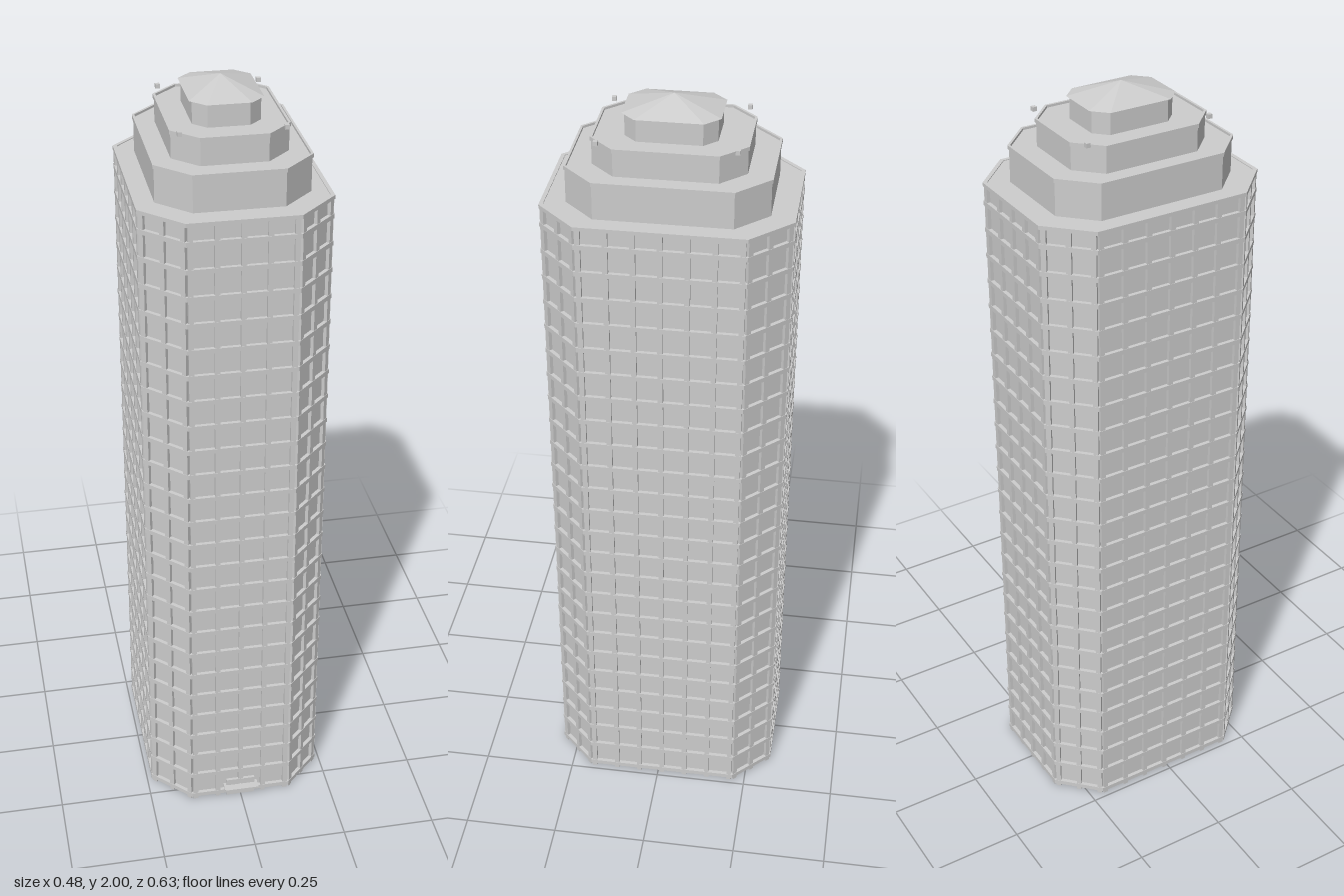
import * as THREE from 'three';
import { mergeGeometries } from 'three/addons/utils/BufferGeometryUtils.js';

const stone = new THREE.MeshStandardMaterial({ color: 0xcccccc, side: THREE.DoubleSide, flatShading: true });
stone.name = 'pale grey';

// Corners of a rectangle with cut corners, inset evenly by d (x, z plane)
function octagon(hx, hz, cut, d = 0) {
  const x = hx - d, z = hz - d, c = cut - d * (2 - Math.SQRT2);
  return [[x - c, z], [x, z - c], [x, c - z], [x - c, -z], [c - x, -z], [-x, c - z], [-x, z - c], [c - x, z]]
    .map(([px, pz]) => new THREE.Vector2(px, pz));
}

// Upright prism or ring between two heights
function prism(outer, y0, y1, inner) {
  const shape = new THREE.Shape(outer);
  if (inner) shape.holes.push(new THREE.Path(inner));
  return new THREE.ExtrudeGeometry(shape, { depth: y1 - y0, bevelEnabled: false })
    .rotateX(-Math.PI / 2).translate(0, y0, 0);
}

// Open wall or sloping surface between two matching outlines
function skin(low, y0, high, y1) {
  const pos = [];
  low.forEach((a, i) => {
    const j = (i + 1) % low.length, b = low[j], c = high[j], d = high[i];
    pos.push(a.x, y0, a.y, b.x, y0, b.y, c.x, y1, c.y, a.x, y0, a.y, c.x, y1, c.y, d.x, y1, d.y);
  });
  const g = new THREE.BufferGeometry();
  g.setAttribute('position', new THREE.Float32BufferAttribute(pos, 3));
  g.computeVertexNormals();
  return g;
}

export function createModel() {
  const model = new THREE.Group();
  const tower = new THREE.Group();
  tower.name = 'tower';
  tower.position.z = -0.011;
  model.add(tower);
  const add = (name, geometry, parent = tower) => {
    const mesh = new THREE.Mesh(geometry, stone);
    mesh.name = name;
    parent.add(mesh);
    return mesh;
  };

  const H = 1.755, D = 0.01;
  const body = d => octagon(0.238, 0.3055, 0.1, d);
  const wall = body(D);

  // Hollow shaft, open at the base, with its roof
  add('shaftWalls', skin(wall, 0, wall, H));
  add('shaftRoof', new THREE.ShapeGeometry(new THREE.Shape(wall)).rotateX(-Math.PI / 2).translate(0, H, 0));
  add('roofRim', prism(body(0), H - 0.008, H + 0.002, wall));

  // Floor bands
  const bands = [];
  for (let i = 0; i < 25; i++) {
    const y = 0.014 + i * 0.0704;
    bands.push(prism(body(0), y - 0.006, y + 0.006, wall));
  }
  add('floorBands', mergeGeometries(bands));

  // Mullions dividing each face into bays
  const W = 0.013, mullions = [];
  wall.forEach((a, i) => {
    const b = wall[(i + 1) % 8];
    const dx = b.x - a.x, dz = b.y - a.y, len = Math.hypot(dx, dz);
    const bays = i % 2 === 0 ? 2 : (i === 1 || i === 5 ? 6 : 4);
    const nx = -dz / len, nz = dx / len, depth = D - 0.001;
    for (let k = 0; k <= bays; k++) {
      const t = (W / 2 + (len - W) * k / bays) / len;
      const g = new THREE.BoxGeometry(W, H - 0.004, depth);
      g.rotateY(Math.atan2(nx, nz));
      g.translate(a.x + dx * t + nx * depth / 2, (H - 0.004) / 2, a.y + dz * t + nz * depth / 2);
      mullions.push(g);
    }
  });
  add('mullions', mergeGeometries(mullions));

  // Stepped crown with thin parapets
  [['lowerSetback', 0.192, 0.248, 0.08, H, 1.85], ['upperSetback', 0.145, 0.188, 0.062, 1.845, 1.915]]
    .forEach(([name, hx, hz, cut, y0, y1]) => {
      add(name, prism(octagon(hx, hz, cut, 0.003), y0, y1 - 0.006));
      add(name + 'Parapet', prism(octagon(hx, hz, cut), y1 - 0.01, y1, octagon(hx, hz, cut, 0.006)));
    });

  // Lantern drum and pointed roof
  add('lantern', prism(octagon(0.09, 0.118, 0.036, 0.007), 1.905, 1.966));
  const eave = octagon(0.09, 0.118, 0.036);
  add('lanternEave', new THREE.ShapeGeometry(new THREE.Shape(eave)).rotateX(-Math.PI / 2).translate(0, 1.966, 0));
  add('pointedRoof', skin(eave, 1.966, eave.map(() => new THREE.Vector2(0, 0)), 2));

  // Small beacons at the crown corners
  for (const x of [-0.127, 0.127]) for (const z of [-0.166, 0.166]) {
    add('beacon', new THREE.BoxGeometry(0.011, 0.011, 0.011)).position.set(x, 1.92, z);
  }

  // Entrance: canopy and a pair of doors
  const entrance = new THREE.Group();
  entrance.name = 'entrance';
  model.add(entrance);
  add('canopy', new THREE.BoxGeometry(0.095, 0.004, 0.032), entrance).position.set(0, 0.033, 0.3);
  for (const s of [-1, 1]) {
    add('door', new THREE.BoxGeometry(0.038, 0.053, 0.008), entrance).position.set(s * 0.0205, 0.0265, 0.291);
  }
  return model;
}
